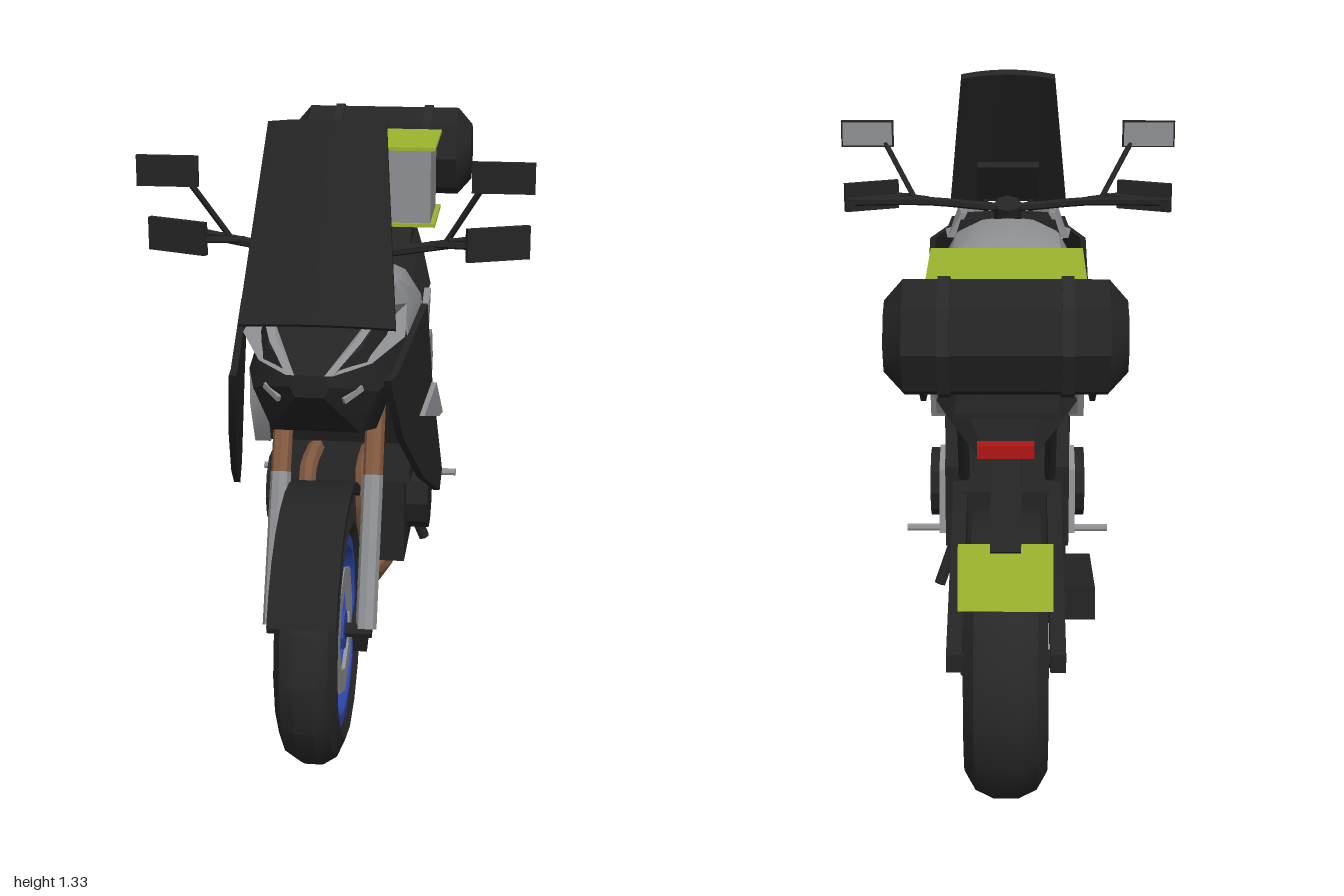
import * as THREE from 'three';
import { toCreasedNormals } from 'three/addons/utils/BufferGeometryUtils.js';

const mat = (name, color) => Object.assign(new THREE.MeshStandardMaterial({ color }), { name });
const V = (x, y, z) => new THREE.Vector3(x, y, z);

export function createModel() {
  const black = mat('black plastic', 0x242424), rubber = mat('rubber', 0x282828);
  const grey = mat('silver grey', 0x8e8f93), blue = mat('rim blue', 0x2d45aa);
  const copper = mat('copper', 0x835a40), green = mat('lime green', 0x9bb62d), red = mat('tail light red', 0xb01515);
  const bike = new THREE.Group();
  bike.name = 'motorcycle';
  const sides = [1, -1];

  const add = (name, geo, m, parent = bike) => {
    const mesh = new THREE.Mesh(toCreasedNormals(geo, 0.6), m);
    mesh.name = name;
    parent.add(mesh);
    return mesh;
  };
  const box = (name, m, w, h, d, x, y, z, tilt = 0) => {
    const b = add(name, new THREE.BoxGeometry(w, h, d), m);
    b.position.set(x, y, z);
    b.rotation.x = tilt;
    return b;
  };
  const rod = (name, m, a, b, r, n = 8, r2 = r) => {
    const dir = b.clone().sub(a);
    const c = add(name, new THREE.CylinderGeometry(r2, r, dir.length(), n), m);
    c.position.copy(a).add(b).multiplyScalar(0.5);
    c.quaternion.setFromUnitVectors(V(0, 1, 0), dir.normalize());
    return c;
  };
  // Side profile given as [z, y], extruded from x0 to x1, then shifted sideways by a rule
  const slab = (name, m, pts, x0, x1, shift) => {
    const lo = Math.min(x0, x1), hi = Math.max(x0, x1);
    const g = new THREE.ExtrudeGeometry(new THREE.Shape(pts.map(p => new THREE.Vector2(...p))),
      { depth: hi - lo, bevelEnabled: false }).rotateY(-Math.PI / 2).translate(hi, 0, 0);
    const p = g.attributes.position;
    if (shift) for (let i = 0; i < p.count; i++) p.setX(i, p.getX(i) + shift(p.getZ(i), p.getY(i)));
    return add(name, g, m);
  };
  // Cross-sections [z, halfWidth, yBottom, yTop] from front to back
  const loft = (name, m, ring, sections) => {
    const pos = [], idx = [], n = ring.length;
    for (const [z, w, y0, y1] of sections) for (const [u, v] of ring) pos.push(u * w, y0 + v * (y1 - y0), z);
    for (let i = 0; i < sections.length - 1; i++) for (let j = 0; j < n; j++) {
      const a = i * n + j, b = i * n + (j + 1) % n;
      idx.push(a, a + n, b, b, a + n, b + n);
    }
    const last = (sections.length - 1) * n;
    for (let j = 1; j < n - 1; j++) idx.push(0, j, j + 1, last, last + j + 1, last + j);
    const g = new THREE.BufferGeometry();
    g.setAttribute('position', new THREE.Float32BufferAttribute(pos, 3));
    g.setIndex(idx);
    return add(name, g, m);
  };
  // Closed profile of [x, radius] spun around the axle
  const spin = (name, m, pts, n, parent) => add(name,
    new THREE.LatheGeometry([...pts, pts[0]].map(([x, r]) => new THREE.Vector2(r, x)), n).rotateZ(-Math.PI / 2), m, parent);
  const band = (x, w, r0, r1) => [[x - w, r0], [x - w, r1], [x + w, r1], [x + w, r0]];
  const arc = (cz, cy, r0, r1, a0, a1) => {
    const pts = [];
    for (const [r, f, t] of [[r1, a0, a1], [r0, a1, a0]])
      for (let i = 0; i <= 8; i++) {
        const a = (f + (t - f) * i / 8) * Math.PI / 180;
        pts.push([cz + r * Math.cos(a), cy + r * Math.sin(a)]);
      }
    return pts;
  };

  // Wheels: tyre, rim, discs, hub and spokes
  const wheel = (name, z, y, R, w, disc) => {
    const g = new THREE.Group();
    g.name = name;
    g.position.set(0, y, z);
    bike.add(g);
    spin('tyre', rubber, [[-w * 0.8, 0.195], [-w, R - 0.055], [-w * 0.75, R - 0.018], [-w * 0.3, R],
      [w * 0.3, R], [w * 0.75, R - 0.018], [w, R - 0.055], [w * 0.8, 0.195]], 16, g);
    spin('rim', blue, band(0, w * 0.85, 0.178, 0.2), 16, g);
    spin('hub', blue, band(0, 0.055, 0.005, 0.042), 8, g);
    for (const s of sides) spin('brakeDisc', grey, band(s * 0.05, 0.004, disc - 0.05, disc), 8, g);
    for (let i = 0; i < 10; i++) {
      const spoke = add('spoke', new THREE.BoxGeometry(0.02, 0.15, 0.011).translate(0, 0.11, 0), i % 2 ? black : blue, g);
      spoke.rotation.x = i * Math.PI / 5;
    }
  };
  wheel('frontWheel', 0.72, 0.287, 0.28, 0.064, 0.14);
  wheel('rearWheel', -0.7, 0.297, 0.29, 0.085, 0.12);
  slab('frontFender', black, arc(0.72, 0.287, 0.288, 0.308, 25, 125), -0.068, 0.068);
  slab('rearFender', black, arc(-0.7, 0.297, 0.295, 0.318, 62, 122), -0.07, 0.07);

  // Front fork
  for (const s of sides) {
    const x = s * 0.098;
    rod('forkLower', grey, V(x, 0.29, 0.72), V(x, 0.58, 0.58), 0.022);
    rod('forkUpper', copper, V(x, 0.57, 0.585), V(x, 0.8, 0.475), 0.021);
    box('frontCaliper', black, 0.03, 0.09, 0.05, s * 0.075, 0.24, 0.615, 0.4);
    box('rearCaliper', black, 0.025, 0.09, 0.025, s * 0.075, 0.22, -0.645, 0.6);
  }
  rod('frontAxle', black, V(-0.11, 0.287, 0.72), V(0.11, 0.287, 0.72), 0.016);
  rod('rearAxle', black, V(-0.11, 0.297, -0.7), V(0.11, 0.297, -0.7), 0.02);
  rod('steeringHead', black, V(0, 0.68, 0.53), V(0, 1.02, 0.4), 0.035);

  // Tank, nose cowl and seat
  const round = [[0, 0], [0.85, 0], [1, 0.3], [0.95, 0.6], [0.75, 0.85], [0.4, 0.97], [0, 1],
    [-0.4, 0.97], [-0.75, 0.85], [-0.95, 0.6], [-1, 0.3], [-0.85, 0]];
  const angular = [[-0.7, 0], [0.7, 0], [1, 0.5], [0.75, 1], [-0.75, 1], [-1, 0.5]];
  loft('fuelTank', grey, round, [[0.44, 0.165, 0.74, 0.975], [0.36, 0.172, 0.74, 0.99], [0.2, 0.178, 0.74, 0.965],
    [0.08, 0.16, 0.74, 0.9], [0, 0.12, 0.745, 0.835], [-0.03, 0.09, 0.76, 0.8]]);
  loft('noseCowl', black, angular, [[0.85, 0.04, 0.84, 0.885], [0.76, 0.125, 0.74, 0.915],
    [0.62, 0.155, 0.7, 0.945], [0.43, 0.162, 0.7, 0.97]]);
  loft('seatAndTail', black, angular, [[0.02, 0.11, 0.67, 0.785], [-0.12, 0.14, 0.69, 0.775], [-0.35, 0.155, 0.7, 0.8],
    [-0.6, 0.115, 0.755, 0.825], [-0.89, 0.06, 0.82, 0.845]]);

  // Side bodywork
  const wingX = (z, y) => 0.16 + (0.78 - z) * 0.11 + (0.85 - y) * 0.06;
  const browX = (z, y) => Math.min(0.165, 0.035 + (0.85 - z) * 0.75) - (y - 0.88) * 0.55;
  for (const s of sides) {
    slab('browPanel', grey, [[0.85, 0.885], [0.76, 0.925], [0.62, 0.965], [0.44, 0.985], [0.44, 0.92], [0.62, 0.9], [0.76, 0.885]],
      -0.008, 0.008, (z, y) => s * (browX(z, y) + 0.005));
    slab('sideWing', black, [[0.85, 0.88], [0.78, 0.87], [0.44, 0.92], [0.43, 0.75], [0.37, 0.52], [0.41, 0.485], [0.58, 0.58], [0.76, 0.73]],
      -0.007, 0.007, (z, y) => s * wingX(z, y));
    slab('wingTrim', grey, [[0.59, 0.72], [0.44, 0.745], [0.385, 0.66], [0.43, 0.665]],
      -0.006, 0.006, (z, y) => s * (wingX(z, y) + 0.012));
    slab('sidePanel', grey, [[0.44, 0.76], [0.22, 0.755], [0.04, 0.745], [0, 0.67], [0.04, 0.575], [0.38, 0.575], [0.44, 0.68]],
      s * 0.15, s * 0.185);
    slab('tailPanel', grey, [[0.02, 0.7], [-0.29, 0.755], [-0.24, 0.68], [-0.02, 0.63]], s * 0.135, s * 0.16);
    slab('frameSpar', black, [[0.05, 0.72], [0, 0.72], [-0.16, 0.52], [-0.16, 0.32], [-0.1, 0.32], [-0.06, 0.52], [0.04, 0.61]],
      s * 0.11, s * 0.145);
    slab('heelPlate', grey, [[-0.04, 0.53], [-0.13, 0.5], [-0.155, 0.35], [-0.1, 0.35], [-0.08, 0.44], [-0.035, 0.47]],
      s * 0.145, s * 0.16);
    const lamp = box('headlightSliver', grey, 0.05, 0.012, 0.008, s * 0.08, 0.835, 0.805);
    lamp.rotation.set(0, s * 0.8, s * 0.35);
  }

  // Engine, frame and swingarm
  slab('airbox', black, [[0.45, 0.75], [0, 0.75], [0.04, 0.58], [0.38, 0.58]], -0.15, 0.15);
  slab('cylinderBlock', black, [[0.27, 0.6], [0.1, 0.6], [0.15, 0.44], [0.31, 0.46]], -0.155, 0.155);
  slab('crankcase', black, [[0.26, 0.46], [-0.06, 0.46], [-0.13, 0.4], [-0.13, 0.245], [0.26, 0.245]], -0.14, 0.14);
  rod('engineCovers', black, V(-0.19, 0.37, 0.13), V(0.19, 0.37, 0.13), 0.085, 10);
  for (const s of sides) {
    slab('swingarm', black, [[-0.08, 0.49], [-0.2, 0.48], [-0.74, 0.325], [-0.74, 0.285], [-0.66, 0.28], [-0.2, 0.39], [-0.08, 0.38]],
      s * 0.092, s * 0.125);
    rod('subframeTube', black, V(s * 0.1, 0.5, -0.17), V(s * 0.1, 0.71, -0.3), 0.013);
    rod('footPeg', grey, V(s * 0.1, 0.337, -0.09), V(s * 0.24, 0.337, -0.09), 0.009);
  }
  rod('shock', black, V(0, 0.45, -0.18), V(0, 0.72, -0.27), 0.035);
  box('swingarmBridge', black, 0.2, 0.09, 0.1, 0, 0.435, -0.17);
  for (const y of [0.29, 0.34]) rod('chain', black, V(0.09, y - 0.02, -0.05), V(0.09, y - 0.03, -0.7), 0.006, 4);
  rod('kickstand', black, V(0.12, 0.3, -0.03), V(0.165, 0.175, -0.06), 0.014, 6);

  // Exhaust headers, belly pan and silencer
  for (const s of sides) {
    const path = new THREE.CatmullRomCurve3([V(s * 0.06, 0.53, 0.28), V(s * 0.062, 0.52, 0.43), V(s * 0.065, 0.36, 0.4),
      V(s * 0.065, 0.24, 0.3), V(s * 0.06, 0.16, 0.14)]);
    add('headerPipe', new THREE.TubeGeometry(path, 14, 0.019, 7), copper);
  }
  loft('bellyPan', copper, [[-0.7, 0], [0.7, 0], [1, 0.6], [1, 1], [-1, 1], [-1, 0.6]],
    [[0.17, 0.07, 0.13, 0.185], [0.1, 0.1, 0.125, 0.2], [-0.08, 0.1, 0.13, 0.205], [-0.125, 0.08, 0.145, 0.205]]);
  slab('silencer', black, [[-0.07, 0.26], [-0.2, 0.28], [-0.38, 0.31], [-0.385, 0.235], [-0.14, 0.16], [-0.07, 0.175]], -0.2, -0.08);

  // Windscreen and instruments
  const screen = new THREE.BoxGeometry(2, 0.42, 0.022, 6, 1, 1);
  const sp = screen.attributes.position;
  for (let i = 0; i < sp.count; i++) {
    const u = sp.getX(i);
    sp.setXYZ(i, u * (sp.getY(i) > 0 ? 0.12 : 0.157), sp.getY(i), sp.getZ(i) - u * u * 0.02 + 0.01);
  }
  const windscreen = add('windscreen', screen, black);
  windscreen.position.set(0, 1.137, 0.642);
  windscreen.rotation.x = -0.474;
  box('instrumentPanel', black, 0.16, 0.12, 0.02, 0, 1.04, 0.575, -0.6);
  for (const s of sides) rod('screenStay', black, V(s * 0.06, 0.94, 0.66), V(s * 0.06, 1.05, 0.67), 0.008, 5);

  // Handlebar, hand guards and mirrors
  const bar = new THREE.CatmullRomCurve3([[-0.38, 1.045, 0.31], [-0.2, 1.03, 0.38], [0, 1.01, 0.4], [0.2, 1.03, 0.38], [0.38, 1.045, 0.31]].map(p => V(...p)));
  add('handlebar', new THREE.TubeGeometry(bar, 16, 0.011, 6), black);
  for (const s of sides) {
    const guard = box('handGuard', black, 0.14, 0.072, 0.014, s * 0.345, 1.042, 0.39);
    guard.rotation.y = s * 0.35;
    rod('guardStay', black, V(s * 0.2, 1.035, 0.38), V(s * 0.29, 1.04, 0.41), 0.008, 5);
    rod('brakeLever', black, V(s * 0.24, 1.045, 0.385), V(s * 0.4, 1.04, 0.345), 0.006, 5);
    rod('mirrorStem', black, V(s * 0.235, 1.04, 0.37), V(s * 0.31, 1.17, 0.425), 0.007, 5);
    box('mirrorShell', black, 0.132, 0.066, 0.012, s * 0.355, 1.193, 0.43);
    box('mirrorGlass', grey, 0.124, 0.058, 0.004, s * 0.355, 1.193, 0.422);
  }

  // Luggage rack, top box and bed roll
  slab('luggageRack', black, [[-0.35, 0.845], [-0.4, 0.87], [-0.84, 0.893], [-0.84, 0.883], [-0.6, 0.85]], -0.1, 0.1);
  rod('rackSupport', black, V(0, 0.77, -0.5), V(0, 0.87, -0.55), 0.05, 6);
  box('topBox', grey, 0.3, 0.19, 0.215, 0, 0.995, -0.485);
  box('boxLid', green, 0.325, 0.009, 0.255, 0, 1.094, -0.49);
  box('boxBase', green, 0.325, 0.009, 0.235, 0, 0.896, -0.487);
  spin('bedRoll', black, [[-0.237, 0.005], [-0.237, 0.075], [-0.2, 0.118], [0.2, 0.118], [0.237, 0.075], [0.237, 0.005]], 8)
    .position.set(0, 1.017, -0.745);
  for (const s of sides) spin('rollStrap', rubber, band(s * 0.12, 0.012, 0.11, 0.124), 8).position.set(0, 1.017, -0.745);

  // Tail light and number plate
  box('tailLight', red, 0.11, 0.025, 0.03, 0, 0.835, -0.885);
  slab('plateHanger', black, [[-0.8, 0.81], [-0.84, 0.81], [-0.925, 0.64], [-0.91, 0.62]], -0.03, 0.03);
  box('numberPlate', green, 0.185, 0.13, 0.008, 0, 0.59, -0.934, 0.35);
  return bike;
}
